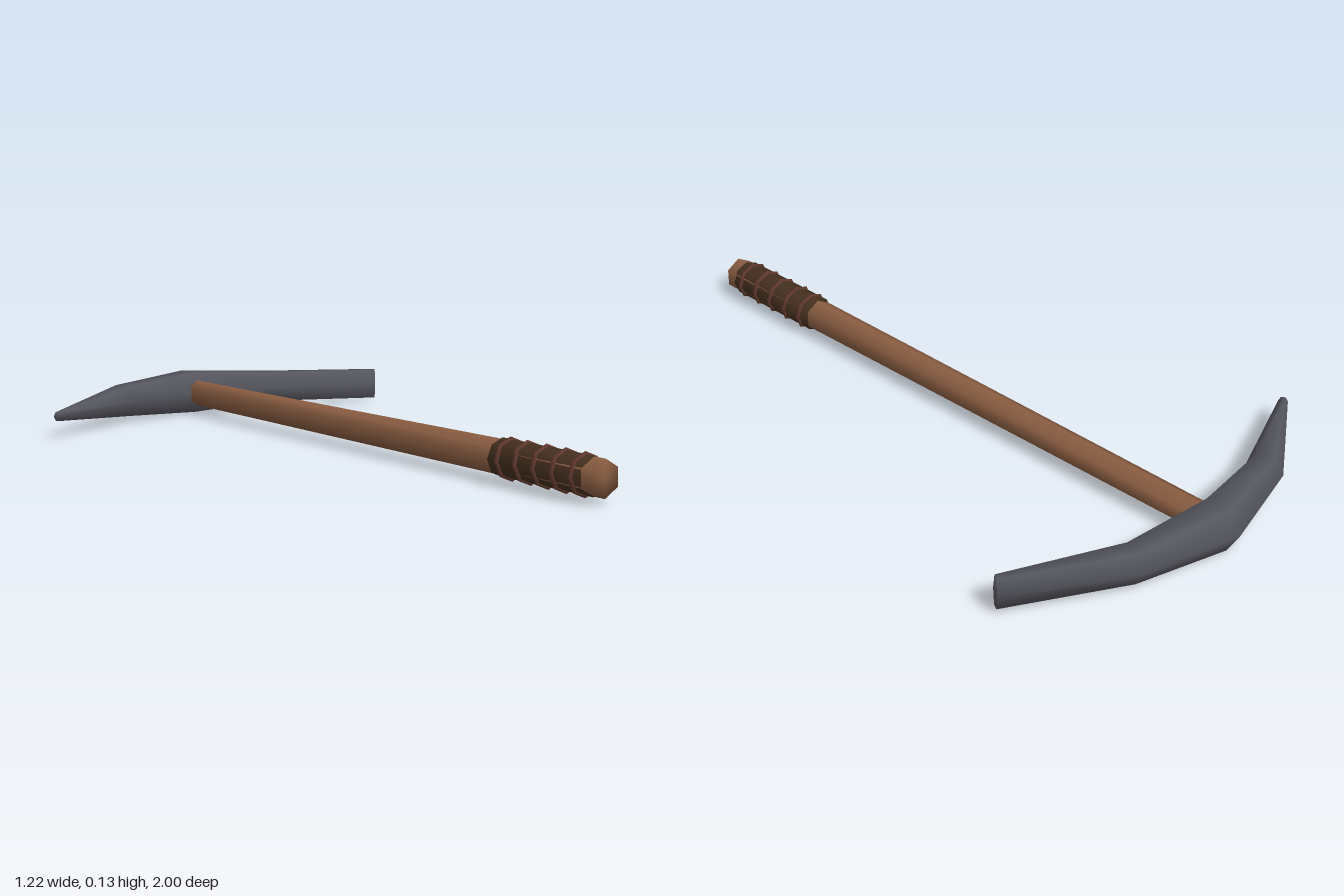
import * as THREE from 'three';
import { mergeVertices } from 'three/addons/utils/BufferGeometryUtils.js';

const material = (name, color) => Object.assign(new THREE.MeshStandardMaterial({ color }), { name });

// Closed cylinder along z with normals shared across the end edges
function softRod(rFront, rBack, zFront, zBack, sides) {
  const geo = new THREE.CylinderGeometry(rFront, rBack, zFront - zBack, sides);
  geo.deleteAttribute('uv');
  geo.deleteAttribute('normal');
  const merged = mergeVertices(geo);
  merged.rotateX(Math.PI / 2).translate(0, 0, (zFront + zBack) / 2);
  merged.computeVertexNormals();
  return merged;
}

// Six-sided loft along the curved head; each section is [x, z, tilt, depth, height]
function headGeometry(sections) {
  const n = 6, pos = [], idx = [];
  for (const [x, z, tilt, depth, height] of sections) {
    for (let j = 0; j < n; j++) {
      const a = (j / n) * Math.PI * 2, d = Math.cos(a) * depth;
      pos.push(x + d * Math.sin(tilt), Math.sin(a) * height, z - d * Math.cos(tilt));
    }
  }
  const last = sections.length - 1;
  for (let i = 0; i < last; i++) {
    for (let j = 0; j < n; j++) {
      const k = (j + 1) % n;
      const a = i * n + j, b = i * n + k, c = b + n, d = a + n;
      idx.push(a, b, c, a, c, d);
    }
  }
  // End caps
  const start = pos.length / 3;
  for (const s of [sections[0], sections[last]]) pos.push(s[0], 0, s[1]);
  for (let j = 0; j < n; j++) {
    const k = (j + 1) % n;
    idx.push(start, k, j, start + 1, last * n + j, last * n + k);
  }
  const geo = new THREE.BufferGeometry();
  geo.setAttribute('position', new THREE.Float32BufferAttribute(pos, 3));
  geo.setIndex(idx);
  geo.computeVertexNormals();
  return geo;
}

export function createModel() {
  const model = new THREE.Group();
  model.name = 'pickaxe';
  const wood = material('wood', 0x8b5e42);
  const steel = material('steel', 0x55555e);
  const leather = material('darkLeather', 0x46301f);
  const cord = material('cord', 0x60382e);

  const add = (name, geo, mat) => {
    const mesh = new THREE.Mesh(geo, mat);
    mesh.name = name;
    mesh.position.y = 0.065;
    model.add(mesh);
    return mesh;
  };

  // Curved head: point on the right, flat chisel on the left
  add('head', headGeometry([
    [-0.602, -0.702, -0.52, 0.014, 0.015],
    [-0.28, -0.87, -0.38, 0.054, 0.055],
    [0, -0.925, 0, 0.075, 0.075],
    [0.28, -0.87, 0.38, 0.054, 0.055],
    [0.602, -0.702, 0.52, 0.02, 0.055],
  ]), steel);

  // Tapered handle and its grip
  add('handle', softRod(0.051, 0.041, 1, -0.91, 6), wood);
  add('grip', softRod(0.053, 0.053, 0.96, 0.62, 8), leather);

  // Slightly tilted cord bands around the grip
  [0.02, 0.05, 0.08, 0.14, 0.08].forEach((tilt, i) => {
    const band = add('gripBand' + (i + 1), new THREE.TorusGeometry(0.052, 0.008, 6, 8), cord);
    band.position.z = 0.93 - i * 0.0685;
    band.rotation.x = -tilt;
  });

  return model;
}
